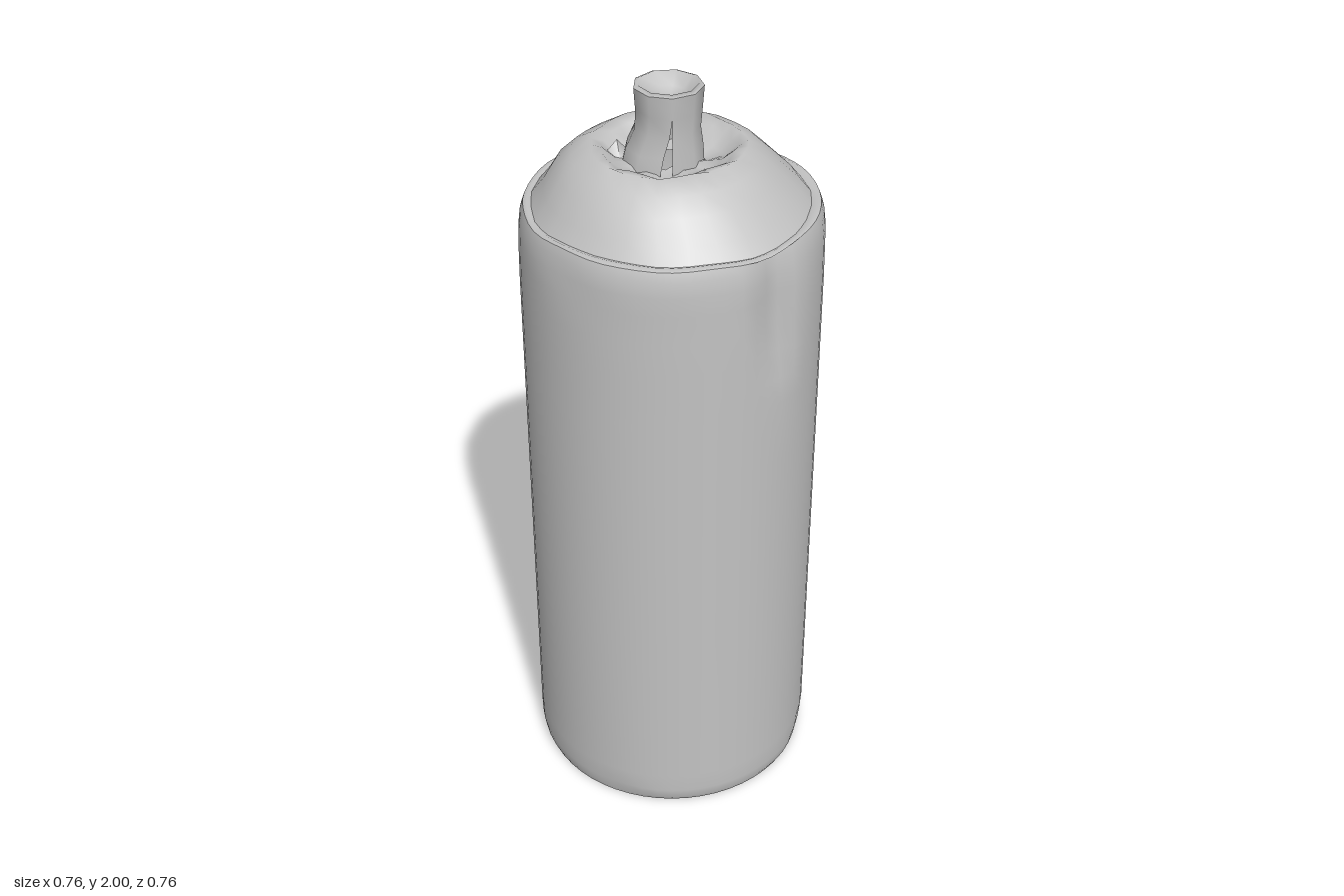
import * as THREE from 'three';
import { mergeVertices } from 'three/addons/utils/BufferGeometryUtils.js';

// Smooth repeatable ripple around the axis, about -1..1
const ripple = (a, k) => 0.5 * Math.sin(3 * a + k) + 0.3 * Math.sin(7 * a + 2.3 * k) + 0.2 * Math.sin(11 * a + 4.1 * k);

// Signed shortest angle between two directions
const turn = (a, b) => Math.atan2(Math.sin(a - b), Math.cos(a - b));

// Revolve a profile, then reshape each point by rule(radius, y, angle) -> [x, y, z]
function dented(profile, sides, rule) {
  let geo = new THREE.LatheGeometry(profile.map(([r, y]) => new THREE.Vector2(r, y)), sides);
  const pos = geo.attributes.position;
  for (let i = 0; i < pos.count; i++) {
    const x = pos.getX(i), y = pos.getY(i), z = pos.getZ(i);
    pos.setXYZ(i, ...rule(Math.hypot(x, z), y, Math.atan2(x, z)));
  }
  geo.deleteAttribute('normal');
  geo.deleteAttribute('uv');
  geo = mergeVertices(geo, 1e-4);
  geo.computeVertexNormals();
  return geo;
}

const polar = (r, y, a) => [r * Math.sin(a), y, r * Math.cos(a)];

export function createModel() {
  const group = new THREE.Group();
  const metal = new THREE.MeshStandardMaterial({ color: 0xc2c2c2, side: THREE.DoubleSide });
  metal.name = 'plain grey';
  const add = (name, geo) => {
    const mesh = new THREE.Mesh(geo, metal);
    mesh.name = name;
    group.add(mesh);
  };

  // Can wall with a worn lower edge and a wedge-shaped dent below the rim
  const wall = [[0.368, 0], [0.375, 0.015], [0.38, 0.045], [0.381, 0.1], [0.381, 0.6], [0.381, 1.1], [0.381, 1.27],
    [0.381, 1.34], [0.381, 1.42], [0.381, 1.5], [0.38, 1.58], [0.379, 1.63], [0.374, 1.67], [0.366, 1.693]];
  add('canWall', dented(wall, 56, (r, y, a) => {
    const fall = THREE.MathUtils.clamp((y - 1.27) / 0.2, 0, 1);
    const width = 0.1 + 0.1 * fall;
    const dent = 0.035 * fall * Math.max(0, 1 - Math.abs(turn(a, 0.62)) / width);
    const wear = y > 0 && y < 0.05 ? 0.004 * ripple(a, 1) : y > 1.62 ? 0.005 * ripple(a, 2) : 0;
    return polar(r - dent + wear, y > 1.6 ? y + 0.006 * ripple(a, 3) : y, a);
  }));

  // Flat base
  const base = new THREE.CircleGeometry(0.368, 56);
  base.rotateX(Math.PI / 2);
  add('base', base);

  // Rim lip that turns in to the shoulder
  add('rimLip', dented([[0.366, 1.693], [0.355, 1.698], [0.335, 1.69]], 56,
    (r, y, a) => polar(r + (r > 0.36 ? 0.005 * ripple(a, 2) : 0), y + 0.006 * ripple(a, 3), a)));

  // Domed shoulder with an uneven well around the valve
  const dome = [[0.352, 1.685], [0.315, 1.732], [0.275, 1.782], [0.235, 1.82], [0.19, 1.845],
    [0.165, 1.835], [0.135, 1.808], [0.1, 1.8], [0.05, 1.8]];
  add('shoulder', dented(dome, 28, (r, y, a) => {
    const inner = r < 0.18 && r > 0.08;
    const rise = inner ? 0.016 * ripple(a, 5) : r < 0.3 ? 0.004 * ripple(a, 6) : 0;
    const shift = r < 0.3 ? -0.01 : 0;
    const [x, h, z] = polar(r + (r < 0.2 ? 0.01 * ripple(a, 4) : 0.004 * ripple(a, 7)), y + rise, a);
    return [x + shift, h, z];
  }));

  // Spray nozzle: faceted stem with a flared foot on one side and a hollow tip
  const stem = [[0.088, 1.79], [0.085, 1.84], [0.078, 1.89], [0.082, 1.94], [0.086, 1.995]];
  const lean = (r, y, a) => {
    const foot = THREE.MathUtils.clamp((1.91 - y) / 0.1, 0, 1);
    const [x, h, z] = polar(r, y, a);
    return [x - 0.008 - (x < 0 ? 0.03 * foot : 0), h, z - 0.006 * foot];
  };
  add('nozzleStem', dented(stem, 9, lean));
  add('nozzleTip', dented([[0.086, 1.995], [0.074, 2], [0.045, 1.972], [0, 1.955]], 9, lean));

  // Torn fins around the foot of the nozzle
  for (const [x, z, spin, size] of [[-0.02, -0.135, 0.3, 0.04], [-0.13, -0.03, 1.7, 0.045], [0.06, 0.15, 2.8, 0.04]]) {
    const fin = new THREE.ConeGeometry(size, 0.05, 4);
    fin.rotateY(spin);
    fin.translate(x, 1.82, z);
    add('nozzleFin', fin);
  }
  return group;
}
